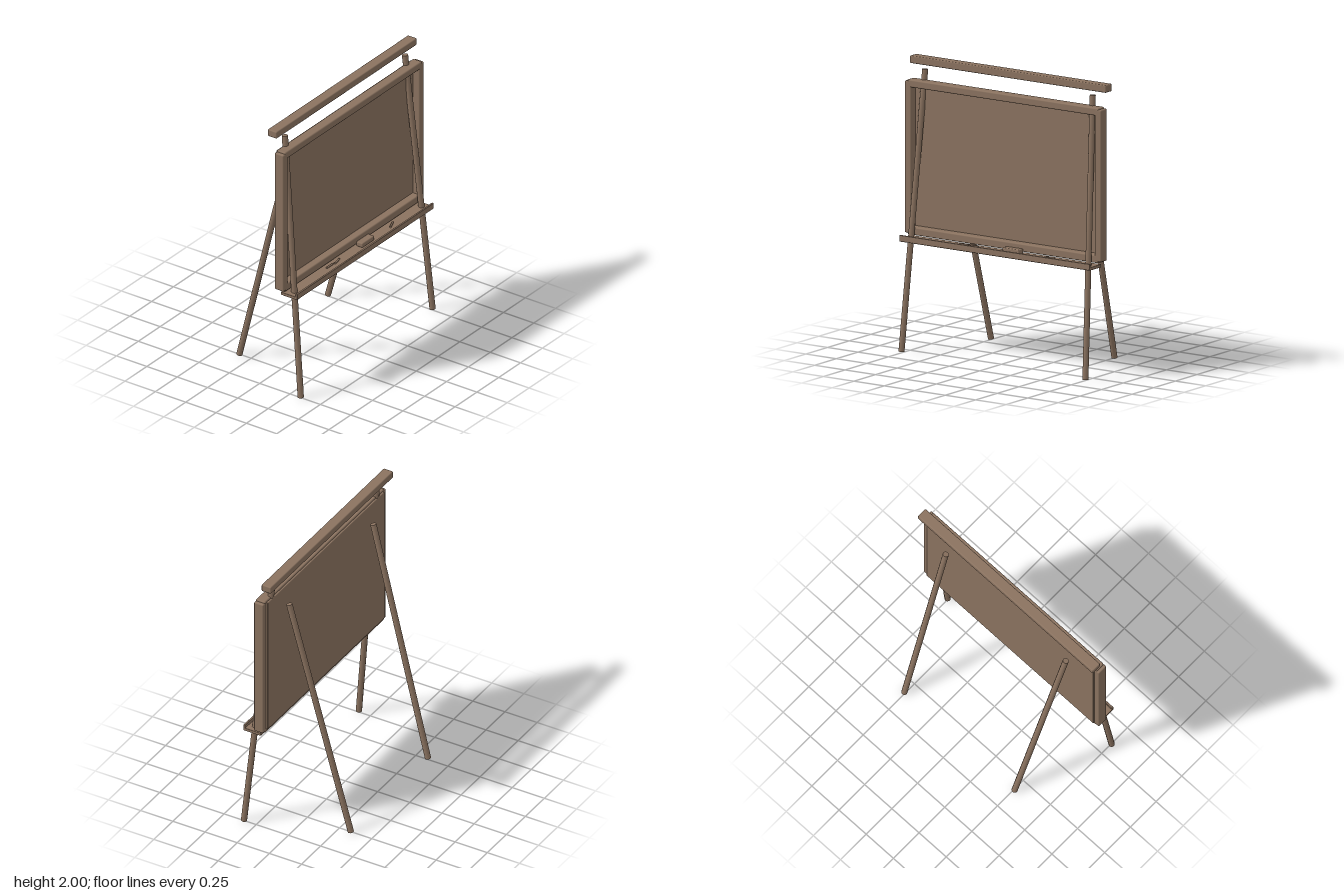
import * as THREE from 'three';
import { RoundedBoxGeometry } from 'three/addons/geometries/RoundedBoxGeometry.js';

export function createModel() {
  const model = new THREE.Group();
  model.name = 'easelBoard';
  const wood = new THREE.MeshStandardMaterial({ color: 0x8b7360 });
  wood.name = 'brown wood';

  const add = (name, geometry) => {
    const mesh = new THREE.Mesh(geometry, wood);
    mesh.name = name;
    model.add(mesh);
    return mesh;
  };

  // Softened box given by its limits on each axis
  const bar = (name, [x0, x1], [y0, y1], [z0, z1], r = 0.008) => {
    const mesh = add(name, new RoundedBoxGeometry(x1 - x0, y1 - y0, z1 - z0, 2, r));
    mesh.position.set((x0 + x1) / 2, (y0 + y1) / 2, (z0 + z1) / 2);
    return mesh;
  };

  // Straight round rod between two points
  const rod = (name, from, to, radius, sides) => {
    const a = new THREE.Vector3(...from), b = new THREE.Vector3(...to);
    const dir = b.clone().sub(a);
    const mesh = add(name, new THREE.CylinderGeometry(radius, radius, dir.length(), sides));
    mesh.position.copy(a).add(b).multiplyScalar(0.5);
    mesh.quaternion.setFromUnitVectors(new THREE.Vector3(0, 1, 0), dir.normalize());
    return mesh;
  };

  // Top rail
  bar('topRail', [-0.805, 0.805], [1.948, 2], [0.104, 0.178]);

  // Writing board, showing slightly behind its frame
  bar('board', [-0.768, 0.768], [0.815, 1.838], [0.15, 0.18], 0.005);

  // Frame
  bar('frameTop', [-0.785, 0.785], [1.797, 1.85], [0.162, 0.235], 0.01);
  bar('frameBottom', [-0.785, 0.785], [0.788, 0.843], [0.162, 0.235], 0.01);
  for (const [s, side] of [[1, 'Left'], [-1, 'Right']]) {
    const x = s * 0.7805;
    bar('frame' + side, [x - 0.0265, x + 0.0265], [0.798, 1.84], [0.162, 0.236], 0.01);

    // Legs
    rod('frontLeg' + side, [s * 0.755, 0.008, 0.342], [s * 0.688, 1.92, 0.163], 0.021, 10);
    rod('backLeg' + side, [s * 0.507, 0.006, -0.342], [s * 0.552, 1.718, 0.11], 0.021, 10);
  }

  // Tray with a raised front lip
  bar('tray', [-0.782, 0.782], [0.755, 0.777], [0.195, 0.33], 0.004);
  bar('trayLip', [-0.782, 0.782], [0.757, 0.8], [0.317, 0.332], 0.004);

  // Eraser and chalk sticks on the tray
  bar('eraser', [0.03, 0.168], [0.776, 0.811], [0.232, 0.286], 0.008);
  const chalkY = 0.783;
  rod('chalk', [-0.34, chalkY, 0.257], [-0.27, chalkY, 0.257], 0.007, 8);
  rod('chalk', [-0.258, chalkY, 0.266], [-0.19, chalkY, 0.252], 0.007, 8);
  rod('chalk', [0.367, chalkY, 0.273], [0.433, chalkY, 0.246], 0.007, 8);

  return model;
}
